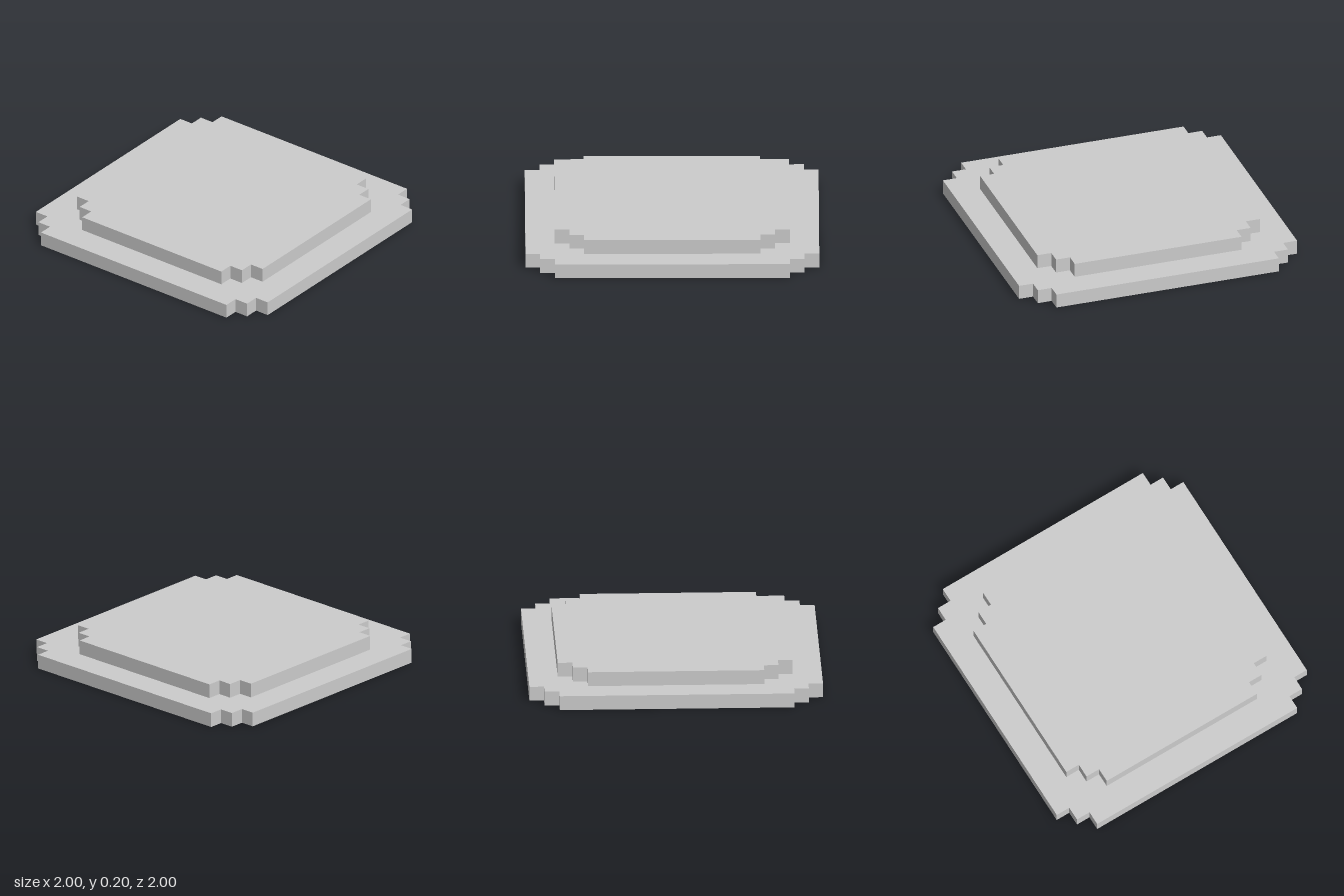
import * as THREE from 'three';

const STEP = 0.1; // size of each corner notch
const THICKNESS = 0.1;

// Square outline whose corners are cut back in two stair steps
function steppedSquare(half) {
  const a = half, b = half - STEP, c = half - 2 * STEP;
  const corner = [[a, c], [b, c], [b, b], [c, b], [c, a]];
  const points = [];
  for (let quarter = 0; quarter < 4; quarter++) {
    for (const [x, y] of corner) {
      const p = [[x, y], [-y, x], [-x, -y], [y, -x]][quarter];
      points.push(new THREE.Vector2(p[0], p[1]));
    }
  }
  return new THREE.Shape(points);
}

// Flat slab lying on the height y
function slab(name, half, y, material) {
  const geometry = new THREE.ExtrudeGeometry(steppedSquare(half), { depth: THICKNESS, bevelEnabled: false });
  geometry.rotateX(-Math.PI / 2);
  const mesh = new THREE.Mesh(geometry, material);
  mesh.name = name;
  mesh.position.y = y;
  return mesh;
}

export function createModel() {
  const material = new THREE.MeshStandardMaterial({ color: 0xcccccc, flatShading: true });
  const model = new THREE.Group();
  model.name = 'steppedPlatform';
  model.add(slab('lowerSlab', 1, 0, material));
  model.add(slab('upperSlab', 0.8, THICKNESS, material));
  return model;
}
